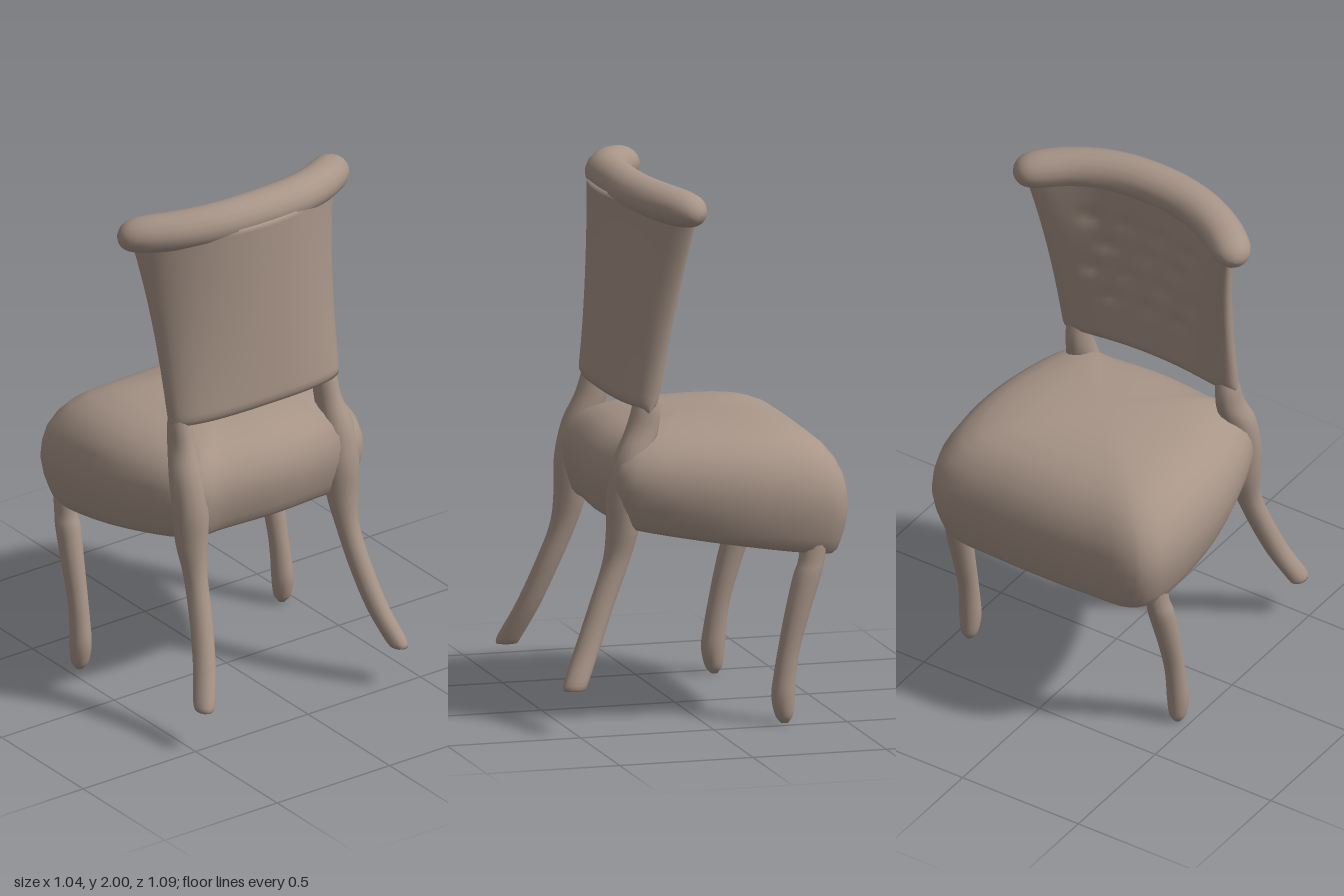
import * as THREE from 'three';

const upholstery = new THREE.MeshStandardMaterial({ color: 0xa89588 });
upholstery.name = 'taupe';

// Smooth skin over closed rings (counter-clockwise about the direction of travel)
function loft(name, rings, caps = true) {
  const n = rings[0].length, pos = rings.flat(2), idx = [];
  for (let i = 0; i < rings.length - 1; i++) {
    for (let j = 0; j < n; j++) {
      const k = (j + 1) % n, a = i * n, b = a + n;
      idx.push(a + j, a + k, b + k, a + j, b + k, b + j);
    }
  }
  if (caps) {
    [0, rings.length - 1].forEach((r, top) => {
      const c = pos.length / 3;
      for (let d = 0; d < 3; d++) pos.push(rings[r].reduce((s, p) => s + p[d], 0) / n);
      for (let j = 0; j < n; j++) {
        const p = r * n + j, q = r * n + (j + 1) % n;
        idx.push(c, top ? p : q, top ? q : p);
      }
    });
  }
  const geo = new THREE.BufferGeometry();
  geo.setAttribute('position', new THREE.Float32BufferAttribute(pos, 3));
  geo.setIndex(idx);
  geo.computeVertexNormals();
  const mesh = new THREE.Mesh(geo, upholstery);
  mesh.name = name;
  return mesh;
}

// Leg through sections [x, y, z, rx, rz] from the foot upwards
function leg(name, sections, side, shift) {
  const spline = f => new THREE.CatmullRomCurve3(sections.map(f), false, 'catmullrom');
  const path = spline(s => new THREE.Vector3(s[0], s[1], s[2]));
  const size = spline(s => new THREE.Vector3(s[3], s[4], 0));
  const rings = [];
  for (let i = 0; i <= 36; i++) {
    const p = path.getPoint(i / 36), r = size.getPoint(i / 36);
    rings.push(Array.from({ length: 14 }, (_, j) => {
      const a = j / 14 * Math.PI * 2;
      return [side * p.x + shift + r.x * Math.cos(a), p.y, p.z - r.y * Math.sin(a)];
    }));
  }
  return loft(name, rings);
}

// Domed seat cushion on a slanted base, falling away towards the open edge
function seat() {
  const half = [[0.25, 0.325], [0.35, 0.325], [0.415, 0.27], [0.49, 0.05], [0.52, -0.2],
    [0.495, -0.45], [0.43, -0.525], [0.22, -0.545]];
  const outline = [[0, 0.343], ...half, [0, -0.55], ...half.map(([x, z]) => [-x, z]).reverse()];
  const curve = new THREE.CatmullRomCurve3(outline.map(([x, z]) => new THREE.Vector3(x, 0, z)), true);
  const points = curve.getPoints(72).slice(0, -1);
  // [outline scale, height from base to crown]
  const profile = [[0.4, 0], [0.84, 0], [0.895, 0.01], [0.925, 0.05], [0.95, 0.13], [0.98, 0.25], [1, 0.4],
    [0.99, 0.53], [0.963, 0.65], [0.905, 0.76], [0.82, 0.85], [0.71, 0.915], [0.56, 0.963], [0.38, 0.988], [0.2, 1]];
  return loft('seat', profile.map(([s, h]) => points.map(p => {
    const z = -0.1 + (p.z + 0.1) * s;
    const base = 0.675 + z * 0.165;
    const crown = 1.09 - 0.3 * Math.max(0, -0.15 - z) ** 2;
    return [p.x * s, base + h * (crown - base), z];
  })));
}

// Curved, flaring back panel with a tufted front
function backPanel() {
  const N = 36, ROWS = 40, rings = [];
  const tuft = (x, y) => {
    let d = 0;
    for (let r = 0; r < 4; r++) {
      for (let c = -2; c <= 2; c++) {
        const bx = (c + (r % 2 ? 0.5 : 0)) * 0.14, by = 1.38 + r * 0.12;
        if (Math.abs(bx) < 0.25) d += Math.exp(-((x - bx) ** 2 + (y - by) ** 2) / 0.0011);
      }
    }
    return 0.011 * d;
  };
  for (let i = 0; i <= ROWS; i++) {
    const v = i / ROWS, y = 1.145 + 0.79 * v;
    const width = 0.372 + 0.015 * v + 0.065 * v ** 2.5;
    const depth = 0.04 + 0.14 * v;
    const edge = Math.sqrt(Math.max(0, 1 - Math.max(0, 1 - v * 16) ** 2)) * (i === ROWS ? 0 : 1);
    const ring = [];
    for (let j = 0; j < 2 * N; j++) {
      const u = Math.cos(Math.PI * j / N), x = width * u;
      const t = (0.067 + 0.008 * v * v) * edge * Math.sqrt(Math.max(0, 1 - u ** 6));
      const mid = 0.238 - 0.018 * v - depth * Math.abs(u) ** 2.2;
      ring.push([x - 0.02, y + 0.012 * (1 - u * u) * (1 - v), j < N ? mid - t + tuft(x, y) * edge : mid + t]);
    }
    rings.push(ring);
  }
  return loft('backPanel', rings, false);
}

// Rolled top rail sweeping forward at both ends
function topRoll() {
  const at = u => [0.483 * u - 0.02, 0.212 - 0.187 * Math.abs(u) ** 2.4];
  const rings = [];
  for (let i = 0; i <= 48; i++) {
    const u = -Math.cos(Math.PI * i / 48);
    const [x, z] = at(u), [x0, z0] = at(u - 0.01), [x1, z1] = at(u + 0.01);
    const len = Math.hypot(x1 - x0, z1 - z0), nx = -(z1 - z0) / len, nz = (x1 - x0) / len;
    const round = Math.sqrt(Math.max(0.02, 1 - Math.abs(u) ** 18));
    const ry = (0.075 - 0.008 * u * u) * round, rn = (0.08 - 0.004 * u * u) * round;
    rings.push(Array.from({ length: 18 }, (_, j) => {
      const a = j / 18 * Math.PI * 2;
      return [x + nx * rn * Math.sin(a), 1.925 - 0.033 * u * u + ry * Math.cos(a), z + nz * rn * Math.sin(a)];
    }));
  }
  return loft('topRoll', rings);
}

export function createModel() {
  const chair = new THREE.Group();
  chair.name = 'chair';
  chair.add(seat(), backPanel(), topRoll());

  const frontLeg = [[0.45, 0, -0.28, 0.014, 0.014], [0.45, 0.03, -0.278, 0.032, 0.033], [0.449, 0.1, -0.275, 0.04, 0.043],
    [0.447, 0.18, -0.283, 0.038, 0.041], [0.445, 0.27, -0.298, 0.037, 0.04], [0.443, 0.4, -0.33, 0.041, 0.046],
    [0.438, 0.53, -0.367, 0.045, 0.051], [0.435, 0.59, -0.385, 0.04, 0.048], [0.43, 0.68, -0.4, 0.04, 0.05]];
  // Rear leg continues up the seat as the post carrying the back
  const rearLeg = [[0.432, 0.155, 0.495, 0.03, 0.04], [0.424, 0.185, 0.485, 0.038, 0.046], [0.385, 0.3, 0.432, 0.04, 0.046],
    [0.355, 0.45, 0.37, 0.041, 0.046], [0.338, 0.6, 0.312, 0.043, 0.049], [0.335, 0.72, 0.286, 0.06, 0.06],
    [0.335, 0.85, 0.278, 0.068, 0.066], [0.335, 0.98, 0.25, 0.062, 0.066], [0.325, 1.08, 0.21, 0.047, 0.061],
    [0.322, 1.17, 0.195, 0.042, 0.048], [0.31, 1.27, 0.195, 0.025, 0.02]];
  for (const [side, label] of [[1, 'Left'], [-1, 'Right']]) {
    chair.add(leg('frontLeg' + label, frontLeg, side, 0));
    chair.add(leg('rearLeg' + label, rearLeg, side, -0.027));
  }
  return chair;
}
